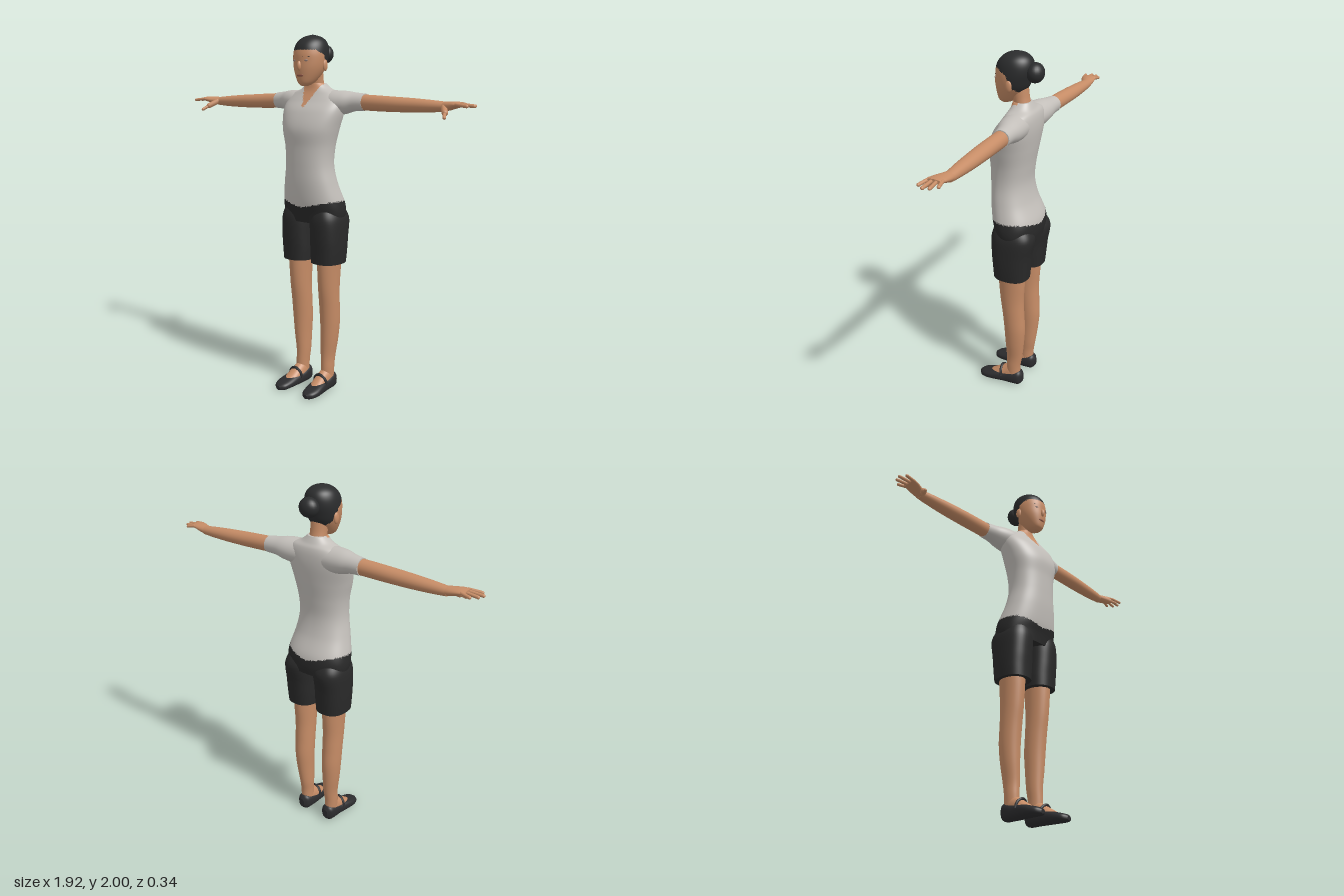
import * as THREE from 'three';

const mat = (name, color) => Object.assign(new THREE.MeshStandardMaterial({ color }), { name });
const V = (x, y, z) => new THREE.Vector3(x, y, z);

// Catmull-Rom blend of the section table at position s
function section(rings, s) {
  const last = rings.length - 1, i = Math.min(Math.floor(s), last - 1), f = s - i;
  const at = k => rings[Math.max(0, Math.min(last, k))];
  const [p, q, r, w] = [at(i - 1), at(i), at(i + 1), at(i + 2)];
  return q.map((b, k) => b + 0.5 * f * (r[k] - p[k] + f * (2 * p[k] - 5 * b + 4 * r[k] - w[k]
    + f * (3 * (b - r[k]) + w[k] - p[k]))));
}

// Smooth skin over rings [t, centreA, centreB, radiusA, radiusB] along an axis (t ascending).
// keep(x, y, z) limits the surface to a region; power squares off the cross-section.
function loft(axis, rings, { n = 32, steps = 6, power = 2, keep = null } = {}) {
  const pos = [], index = [], rows = (rings.length - 1) * steps;
  const place = (t, u, v) => axis === 'x' ? [t, u, v] : axis === 'y' ? [u, t, v] : [u, v, t];
  const bend = c => Math.sign(c) * Math.abs(c) ** (2 / power);
  const addRing = s => {
    const [t, a, b, ra, rb] = section(rings, s);
    for (let j = 0; j < n; j++) {
      const w = j / n * Math.PI * 2;
      pos.push(...place(t, a + ra * bend(Math.cos(w)), b + rb * bend(Math.sin(w)) * (axis === 'y' ? -1 : 1)));
    }
    return place(t, a, b);
  };
  for (let i = 0; i <= rows; i++) addRing(i / steps);
  for (let i = 0; i < rows; i++) for (let j = 0; j < n; j++) {
    const a = i * n + j, b = i * n + (j + 1) % n;
    index.push(a, b, b + n, a, b + n, a + n);
  }
  for (const end of [0, 1]) {
    const base = pos.length / 3;
    pos.push(...addRing(end * (rings.length - 1)));
    for (let j = 0; j < n; j++) {
      const a = base + j, b = base + (j + 1) % n;
      index.push(base + n, ...(end ? [a, b] : [b, a]));
    }
  }
  const g = new THREE.BufferGeometry();
  g.setAttribute('position', new THREE.Float32BufferAttribute(pos, 3));
  g.setIndex(index);
  g.computeVertexNormals();
  if (keep) {
    const kept = [];
    for (let i = 0; i < index.length; i += 3) {
      const tri = index.slice(i, i + 3);
      const mid = k => (pos[tri[0] * 3 + k] + pos[tri[1] * 3 + k] + pos[tri[2] * 3 + k]) / 3;
      if (keep(mid(0), mid(1), mid(2))) kept.push(...tri);
    }
    g.setIndex(kept);
  }
  return g;
}

const ellipsoid = (x, y, z, rx, ry, rz) =>
  new THREE.SphereGeometry(1, 24, 16).scale(rx, ry, rz).translate(x, y, z);

function capsule(a, b, r) {
  const d = b.clone().sub(a), g = new THREE.CapsuleGeometry(r, d.length(), 6, 12);
  g.applyQuaternion(new THREE.Quaternion().setFromUnitVectors(V(0, 1, 0), d.clone().normalize()));
  return g.translate(...a.clone().add(b).multiplyScalar(0.5).toArray());
}

function mirrored(geometry) {
  const g = geometry.clone().scale(-1, 1, 1), ix = g.index.array;
  for (let i = 0; i < ix.length; i += 3) [ix[i], ix[i + 1]] = [ix[i + 1], ix[i]];
  return g;
}

export function createModel() {
  const skin = mat('skin', 0xc68c66), shirt = mat('shirt grey', 0xc3bfba), hair = mat('hair black', 0x2b2c2d);
  const shorts = mat('shorts black', 0x292929), shoe = mat('shoe black', 0x2c2c2e);
  const lip = mat('lip brown', 0x8f5645), eye = mat('eye grey', 0x9a827a);
  const model = new THREE.Group();
  model.name = 'standingPerson';
  const add = (name, g, m) => {
    const mesh = new THREE.Mesh(g, m);
    mesh.name = name;
    model.add(mesh);
  };
  const pair = (name, g, m) => {
    add('left' + name, g, m);
    add('right' + name, mirrored(g), m);
  };

  // Torso: one surface shared by shorts, shirt and open neckline
  const torso = [
    [0.985, 0, -0.047, 0.18, 0.113], [1.04, 0, -0.045, 0.19, 0.122], [1.1, 0, -0.034, 0.184, 0.127],
    [1.2, 0, -0.008, 0.16, 0.113], [1.3, 0, 0.003, 0.142, 0.106], [1.4, 0, 0, 0.146, 0.111],
    [1.5, 0, -0.006, 0.168, 0.121], [1.59, 0, -0.028, 0.188, 0.111], [1.65, 0, -0.05, 0.185, 0.09],
    [1.69, 0, -0.06, 0.15, 0.073], [1.715, 0, -0.058, 0.09, 0.06], [1.745, 0, -0.053, 0.052, 0.049],
  ];
  const hem = x => 1.07 + 0.035 * Math.min(1, Math.abs(x) / 0.16);
  const neckline = (x, y, z) => z > -0.05 && Math.abs(x) < (y - 1.605) * 0.45;
  const fine = keep => ({ n: 112, steps: 8, power: 2.25, keep });
  add('shortsHips', loft('y', torso, fine((x, y) => y < hem(x))), shorts);
  add('shirtBody', loft('y', torso, fine((x, y, z) => y >= hem(x) && !neckline(x, y, z))), shirt);
  add('neckline', loft('y', torso, fine(neckline)), skin);
  add('neck', loft('y', [[1.66, 0, -0.052, 0.046, 0.042], [1.72, 0, -0.052, 0.047, 0.044],
    [1.77, 0, -0.042, 0.046, 0.045], [1.83, 0, -0.03, 0.05, 0.05]]), skin);

  // Head: face and hair share one surface, split along the hairline
  const head = [
    [1.728, 0, 0.048, 0.015, 0.018], [1.745, 0, 0.036, 0.04, 0.046], [1.78, 0, 0.02, 0.064, 0.07],
    [1.82, 0, 0.006, 0.082, 0.089], [1.86, 0, -0.002, 0.091, 0.097], [1.9, 0, -0.008, 0.093, 0.102],
    [1.94, 0, -0.013, 0.087, 0.096], [1.97, 0, -0.018, 0.071, 0.077], [1.99, 0, -0.02, 0.042, 0.046],
    [2, 0, -0.02, 0.004, 0.004],
  ];
  const hairline = z => z > 0.05 ? 1.918 : z > 0 ? 1.89 + z * 0.56
    : z > -0.03 ? 1.89 + z * 2.3 : Math.max(1.775, 1.821 + (z + 0.03) * 0.9);
  add('face', loft('y', head, { n: 72, steps: 8, keep: (x, y, z) => y < hairline(z) }), skin);
  add('hair', loft('y', head, { n: 72, steps: 8, keep: (x, y, z) => y >= hairline(z) }), hair);
  add('hairBun', ellipsoid(0, 1.9, -0.122, 0.055, 0.052, 0.047), hair);
  add('nose', ellipsoid(0, 1.835, 0.094, 0.012, 0.026, 0.015), skin);
  add('lips', ellipsoid(0, 1.785, 0.086, 0.022, 0.008, 0.008), lip);
  pair('Ear', ellipsoid(0.09, 1.838, -0.015, 0.01, 0.03, 0.018), skin);
  pair('Eye', ellipsoid(0.036, 1.863, 0.084, 0.014, 0.006, 0.006), eye);
  pair('Eyebrow', capsule(V(0.02, 1.883, 0.09), V(0.052, 1.883, 0.076), 0.003), hair);

  // Arms
  pair('Sleeve', loft('x', [[0.05, 1.635, -0.06, 0.07, 0.07], [0.13, 1.638, -0.062, 0.068, 0.075],
    [0.19, 1.642, -0.07, 0.062, 0.068], [0.245, 1.646, -0.08, 0.05, 0.054],
    [0.305, 1.645, -0.086, 0.045, 0.046]]), shirt);
  pair('Arm', loft('x', [[0.26, 1.645, -0.085, 0.042, 0.042], [0.4, 1.64, -0.083, 0.041, 0.043],
    [0.5, 1.637, -0.083, 0.039, 0.043], [0.6, 1.635, -0.085, 0.036, 0.04],
    [0.7, 1.633, -0.086, 0.031, 0.035], [0.79, 1.632, -0.088, 0.024, 0.028]]), skin);
  pair('Palm', loft('x', [[0.77, 1.632, -0.088, 0.024, 0.028], [0.81, 1.636, -0.08, 0.022, 0.036],
    [0.85, 1.642, -0.072, 0.017, 0.042], [0.885, 1.645, -0.07, 0.011, 0.038]]), skin);
  const fingers = [[-0.103, 0.912, -0.112], [-0.081, 0.942, -0.086], [-0.058, 0.952, -0.055], [-0.037, 0.93, -0.022]];
  for (const [z, tipX, tipZ] of fingers)
    pair('Finger', capsule(V(0.865, 1.645, z), V(tipX, 1.638, tipZ), 0.0085), skin);
  pair('ThumbBase', capsule(V(0.785, 1.63, -0.065), V(0.815, 1.605, -0.022), 0.016), skin);
  pair('ThumbTip', capsule(V(0.812, 1.607, -0.024), V(0.832, 1.583, 0.014), 0.009), skin);

  // Legs
  pair('ShortsLeg', loft('y', [[0.755, 0.099, -0.04, 0.088, 0.1], [0.82, 0.1, -0.041, 0.092, 0.105],
    [0.9, 0.101, -0.042, 0.093, 0.112], [1, 0.099, -0.048, 0.092, 0.121],
    [1.06, 0.093, -0.042, 0.078, 0.1]], { n: 48, power: 2.4 }), shorts);
  pair('Leg', loft('y', [[0.06, 0.09, -0.045, 0.035, 0.042], [0.13, 0.091, -0.046, 0.036, 0.043],
    [0.2, 0.09, -0.052, 0.039, 0.048], [0.3, 0.096, -0.056, 0.047, 0.056], [0.4, 0.099, -0.057, 0.053, 0.062],
    [0.5, 0.1, -0.05, 0.055, 0.064], [0.6, 0.101, -0.042, 0.056, 0.069], [0.7, 0.102, -0.041, 0.059, 0.076],
    [0.79, 0.103, -0.041, 0.063, 0.08]]), skin);

  // Feet in low strapped shoes
  pair('Foot', loft('z', [[-0.08, 0.09, 0.05, 0.03, 0.04], [-0.04, 0.09, 0.07, 0.036, 0.06],
    [0, 0.09, 0.062, 0.038, 0.055], [0.05, 0.093, 0.047, 0.04, 0.039], [0.1, 0.097, 0.031, 0.036, 0.025]]), skin);
  pair('Shoe', loft('z', [[-0.105, 0.09, 0.048, 0.015, 0.025], [-0.085, 0.09, 0.049, 0.038, 0.046],
    [-0.04, 0.09, 0.045, 0.045, 0.043], [0, 0.091, 0.04, 0.046, 0.038], [0.06, 0.096, 0.035, 0.05, 0.033],
    [0.11, 0.1, 0.028, 0.049, 0.026], [0.15, 0.1, 0.022, 0.037, 0.02], [0.17, 0.1, 0.018, 0.012, 0.011]],
  { power: 2.5 }), shoe);
  const strap = [V(0.046, 0.05, 0.02), V(0.058, 0.085, 0.025), V(0.091, 0.104, 0.03), V(0.124, 0.085, 0.025), V(0.137, 0.05, 0.02)];
  pair('ShoeStrap', new THREE.TubeGeometry(new THREE.CatmullRomCurve3(strap), 24, 0.008, 8), shoe);
  return model;
}
